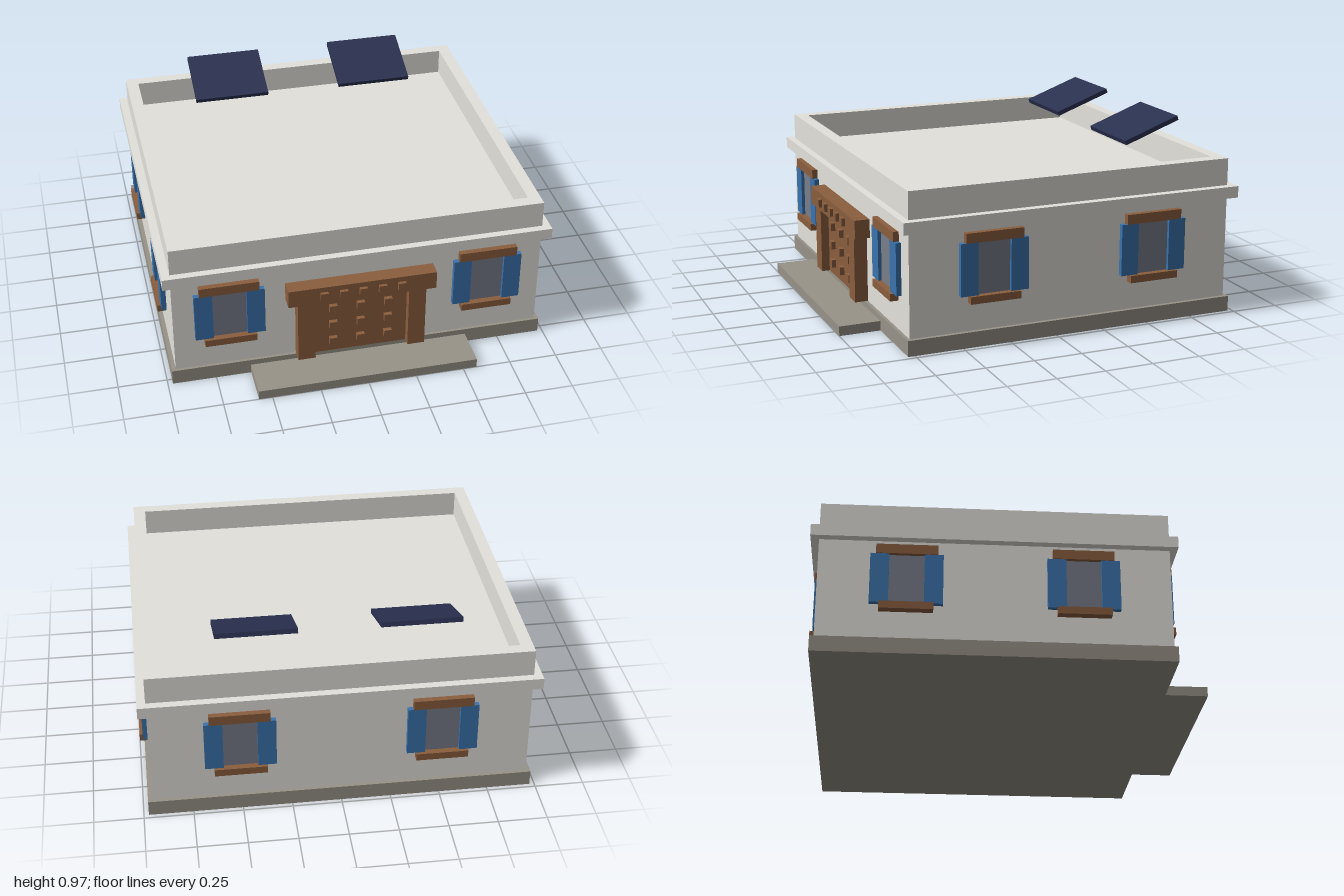
import * as THREE from 'three';

const flat = (name, color) => {
  const mat = new THREE.MeshStandardMaterial({ color });
  mat.name = name;
  return mat;
};

export function createModel() {
  const plaster = flat('plaster', 0xe4e2dc);
  const stone = flat('stone', 0x989388);
  const wood = flat('wood', 0x8b5e3e);
  const blue = flat('shutter blue', 0x3a73ae);
  const glass = flat('glass', 0x787d8a);
  const solar = flat('solar navy', 0x2a3150);

  const model = new THREE.Group();
  model.name = 'house';

  // Box given by its low and high limits on each axis
  function box(parent, name, mat, [x0, x1], [y0, y1], [z0, z1]) {
    const mesh = new THREE.Mesh(new THREE.BoxGeometry(x1 - x0, y1 - y0, z1 - z0), mat);
    mesh.position.set((x0 + x1) / 2, (y0 + y1) / 2, (z0 + z1) / 2);
    mesh.name = name;
    parent.add(mesh);
    return mesh;
  }

  // Foundation, step, walls and the overhanging roof slab
  box(model, 'foundation', stone, [-0.975, 0.975], [0, 0.08], [-0.977, 0.785]);
  box(model, 'frontStep', stone, [-0.57, 0.57], [0, 0.05], [0.78, 1]);
  box(model, 'walls', plaster, [-0.954, 0.954], [0.08, 0.61], [-0.957, 0.769]);
  box(model, 'roofSlab', plaster, [-0.996, 0.996], [0.61, 0.67], [-0.998, 0.807]);

  // Parapet around the flat roof
  for (const s of [-1, 1]) {
    box(model, 'sideParapet', plaster, [s * 0.922 - 0.032, s * 0.922 + 0.032], [0.67, 0.81], [-0.957, 0.769]);
  }
  box(model, 'frontParapet', plaster, [-0.89, 0.89], [0.67, 0.81], [0.705, 0.769]);
  box(model, 'backParapet', plaster, [-0.89, 0.89], [0.67, 0.81], [-0.957, -0.895]);

  // Window facing +z, with its wall plane at z = 0
  function addWindow(x, z, turn) {
    const w = new THREE.Group();
    w.name = 'window';
    box(w, 'pane', glass, [-0.1, 0.1], [0.26, 0.535], [-0.01, 0.009]);
    box(w, 'lintel', wood, [-0.151, 0.151], [0.53, 0.58], [-0.01, 0.03]);
    box(w, 'sill', wood, [-0.132, 0.132], [0.227, 0.265], [-0.01, 0.042]);
    for (const s of [-1, 1]) {
      box(w, 'shutter', blue, [s * 0.132 - 0.046, s * 0.132 + 0.046], [0.265, 0.53], [-0.01, 0.026]);
    }
    w.position.set(x, 0, z);
    w.rotation.y = turn;
    model.add(w);
  }
  for (const s of [-1, 1]) {
    addWindow(s * 0.668, 0.769, 0);
    addWindow(s * 0.505, -0.957, Math.PI);
    for (const z of [0.337, -0.526]) addWindow(s * 0.954, z, s * Math.PI / 2);
  }

  // Entrance: studded door between posts under a beam with log ends
  const entrance = new THREE.Group();
  entrance.name = 'entrance';
  model.add(entrance);
  box(entrance, 'door', wood, [-0.245, 0.245], [0.08, 0.43], [0.76, 0.795]);
  for (const s of [-1, 1]) {
    box(entrance, 'doorPost', wood, [s * 0.2875 - 0.045, s * 0.2875 + 0.045], [0.08, 0.43], [0.76, 0.838]);
  }
  box(entrance, 'doorBeam', wood, [-0.382, 0.382], [0.43, 0.527], [0.76, 0.848]);
  for (let i = -2; i <= 2; i++) {
    box(entrance, 'logEnd', wood, [i * 0.1 - 0.02, i * 0.1 + 0.02], [0.457, 0.499], [0.84, 0.866]);
  }
  for (const x of [-0.143, 0, 0.143]) {
    for (const y of [0.152, 0.254, 0.356]) {
      box(entrance, 'doorStud', wood, [x - 0.02, x + 0.02], [y - 0.021, y + 0.021], [0.79, 0.818]);
    }
  }

  // Tilted roof panels
  for (const s of [-1, 1]) {
    const panel = box(model, 'solarPanel', solar, [-0.202, 0.202], [-0.012, 0.012], [-0.161, 0.161]);
    panel.position.set(s * 0.404, 0.905, -0.707);
    panel.rotation.x = THREE.MathUtils.degToRad(20);
  }

  return model;
}
